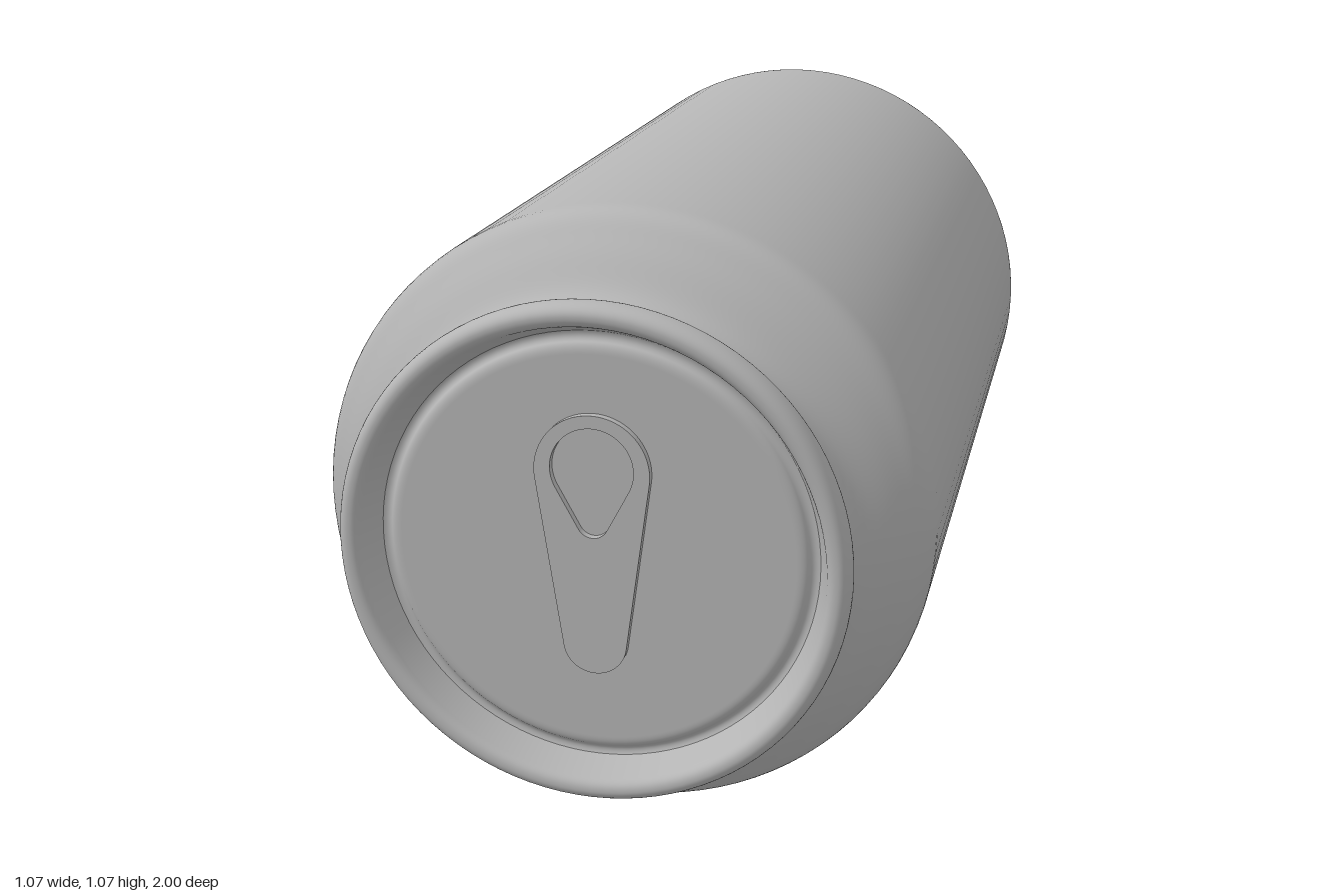
import * as THREE from 'three';

const RADIUS = 0.537;

export function createModel() {
  const group = new THREE.Group();
  const aluminium = new THREE.MeshStandardMaterial({ color: 0xb4b4b4 });
  aluminium.name = 'aluminium';

  // Everything is turned around the z axis; profiles are (radius, z), drawn from back to front
  function turned(name, path) {
    const geometry = new THREE.LatheGeometry(path.getPoints(10), 96);
    geometry.rotateX(Math.PI / 2);
    add(name, geometry);
  }
  function add(name, geometry) {
    const mesh = new THREE.Mesh(geometry, aluminium);
    mesh.name = name;
    mesh.position.y = RADIUS;
    group.add(mesh);
  }

  // Concave dome in the base, running out to the standing ring
  const dome = new THREE.Path();
  dome.moveTo(0, -0.85);
  dome.bezierCurveTo(0.14, -0.85, 0.29, -0.89, 0.355, -0.95);
  dome.quadraticCurveTo(0.372, -0.965, 0.375, -0.98);
  dome.bezierCurveTo(0.378, -1.0, 0.39, -1.0, 0.40, -1.0);
  dome.quadraticCurveTo(0.418, -1.0, 0.425, -0.988);
  turned('baseDome', dome);

  // Base slope, straight wall, shoulder and neck
  const wall = new THREE.Path();
  wall.moveTo(0.425, -0.988);
  wall.bezierCurveTo(0.435, -0.972, 0.46, -0.97, 0.485, -0.945);
  wall.bezierCurveTo(0.515, -0.915, RADIUS, -0.91, RADIUS, -0.865);
  wall.lineTo(RADIUS, -0.855);
  wall.lineTo(RADIUS, 0.73);
  wall.lineTo(RADIUS, 0.74);
  wall.bezierCurveTo(RADIUS, 0.785, 0.515, 0.795, 0.49, 0.82);
  wall.bezierCurveTo(0.45, 0.86, 0.408, 0.87, 0.408, 0.915);
  wall.lineTo(0.41, 0.94);
  turned('bodyWall', wall);

  // Rolled rim at the mouth
  const rim = new THREE.Path();
  rim.moveTo(0.408, 0.94);
  rim.quadraticCurveTo(0.43, 0.94, 0.43, 0.968);
  rim.bezierCurveTo(0.43, 0.99, 0.42, 1.0, 0.41, 1.0);
  rim.bezierCurveTo(0.398, 1.0, 0.392, 0.993, 0.389, 0.98);
  rim.lineTo(0.372, 0.935);
  turned('rim', rim);

  // Recessed lid with a shallow groove around its panel
  const lid = new THREE.Path();
  lid.moveTo(0.372, 0.935);
  lid.quadraticCurveTo(0.362, 0.93, 0.355, 0.937);
  lid.quadraticCurveTo(0.35, 0.945, 0.335, 0.945);
  lid.lineTo(0.32, 0.945);
  lid.lineTo(0, 0.945);
  turned('lid', lid);

  // Outline around two circles of different size, joined by their tangents
  function teardrop(Type, topY, topR, lowY, lowR) {
    const tilt = Math.asin((topR - lowR) / (topY - lowY));
    const outline = new Type();
    outline.absarc(0, topY, topR, -tilt, Math.PI + tilt, false);
    outline.absarc(0, lowY, lowR, Math.PI + tilt, 2 * Math.PI - tilt, false);
    outline.closePath();
    return outline;
  }

  // Pull tab with its finger hole, heights measured from the can axis
  const tab = teardrop(THREE.Shape, 0.14, 0.097, -0.158, 0.054);
  tab.holes.push(teardrop(THREE.Path, 0.145, 0.07, 0.055, 0.027));
  const tabGeometry = new THREE.ExtrudeGeometry(tab, { depth: 0.016, bevelEnabled: false, curveSegments: 24 });
  tabGeometry.translate(0, 0, 0.943);
  add('pullTab', tabGeometry);

  return group;
}
